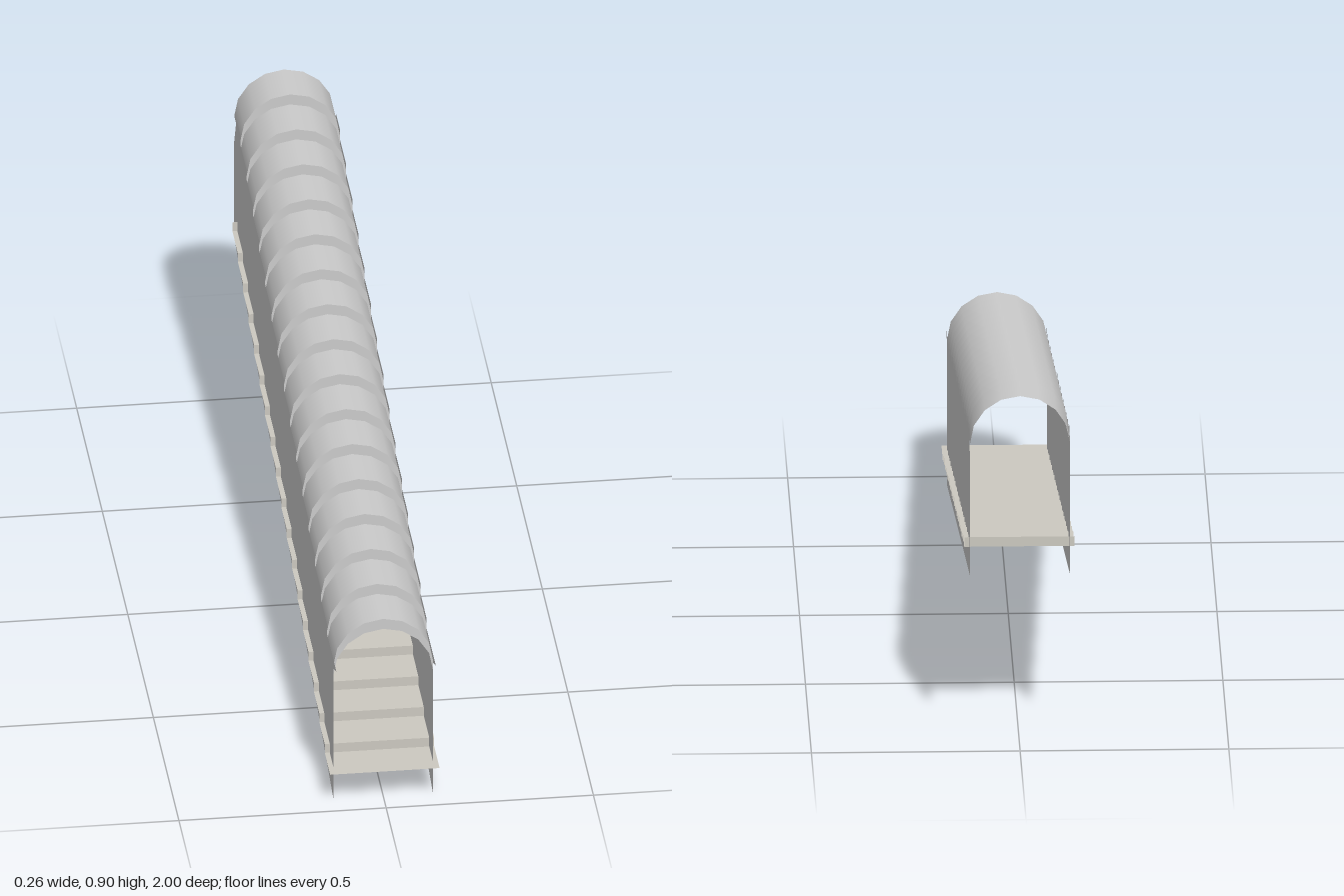
import * as THREE from 'three';

const STEPS = 16, FRONT = 0.94, BACK = -1, RADIUS = 0.12;
const DEPTH = (FRONT - BACK) / STEPS, RISE = 0.0275, SPRING = 0.3675;

const grey = new THREE.MeshStandardMaterial({ color: 0xcccccc, side: THREE.DoubleSide });
const stone = new THREE.MeshStandardMaterial({ color: 0xccc9c0, side: THREE.DoubleSide });

function addMesh(parent, geometry, material, name) {
  const mesh = new THREE.Mesh(geometry, material);
  mesh.name = name;
  parent.add(mesh);
  return mesh;
}

// Stepped barrel vault: half-cylinder sections joined by thin crescents
function buildRoof() {
  const roof = new THREE.Group();
  roof.name = 'steppedVault';
  const section = new THREE.CylinderGeometry(RADIUS, RADIUS, DEPTH, 8, 1, true, -Math.PI / 2, Math.PI);
  section.rotateX(-Math.PI / 2);

  const arc = [];
  for (let i = 0; i <= 8; i++) {
    const a = (i / 8) * Math.PI;
    arc.push(new THREE.Vector2(RADIUS * Math.cos(a), RADIUS * Math.sin(a)));
  }
  const lower = arc.map(p => new THREE.Vector2(p.x, p.y - RISE)).reverse();
  const crescent = new THREE.ShapeGeometry(new THREE.Shape([...arc, ...lower]));

  for (let i = 0; i < STEPS; i++) {
    const y = SPRING + RISE * i, z = FRONT - DEPTH * i;
    addMesh(roof, section, grey, 'vaultSection').position.set(0, y, z - DEPTH / 2);
    addMesh(roof, crescent, grey, 'vaultRiser').position.set(0, y, z);
  }
  return roof;
}

// Side wall outline in (z, y): sloped base, stepped top, pointed front lip, cut back corner
function wallGeometry() {
  const lip = 0.0165;
  const points = [[BACK, 0.445], [FRONT, 0], [FRONT, 0.358], [1, SPRING + lip]];
  for (let i = 0; i < STEPS; i++) {
    const y = SPRING + RISE * i + lip, z = FRONT - DEPTH * i;
    if (i > 0) points.push([z, y]);
    points.push([i === STEPS - 1 ? -0.955 : z - DEPTH, y]);
  }
  points.push([BACK, 0.71]);
  const shape = new THREE.Shape(points.map(p => new THREE.Vector2(p[0], p[1])));
  return new THREE.ShapeGeometry(shape).rotateY(-Math.PI / 2);
}

// Thin folded staircase, slightly wider than the walls
function buildStairs() {
  const stairs = new THREE.Group();
  stairs.name = 'stairs';
  const count = 18, width = 0.264, z0 = 0.976, y0 = 0.087;
  const depth = (z0 + 0.939) / count, rise = (0.522 - y0) / count;
  const tread = new THREE.PlaneGeometry(width, depth).rotateX(-Math.PI / 2);
  const riser = new THREE.PlaneGeometry(width, rise);
  for (let i = 0; i < count; i++) {
    const y = y0 + rise * i, z = z0 - depth * i;
    addMesh(stairs, tread, stone, 'tread').position.set(0, y, z - depth / 2);
    addMesh(stairs, riser, stone, 'riser').position.set(0, y + rise / 2, z - depth);
  }
  return stairs;
}

export function createModel() {
  const model = new THREE.Group();
  model.name = 'coveredStairway';
  model.add(buildRoof(), buildStairs());
  const wall = wallGeometry();
  addMesh(model, wall, grey, 'leftWall').position.x = RADIUS;
  addMesh(model, wall, grey, 'rightWall').position.x = -RADIUS;
  return model;
}
